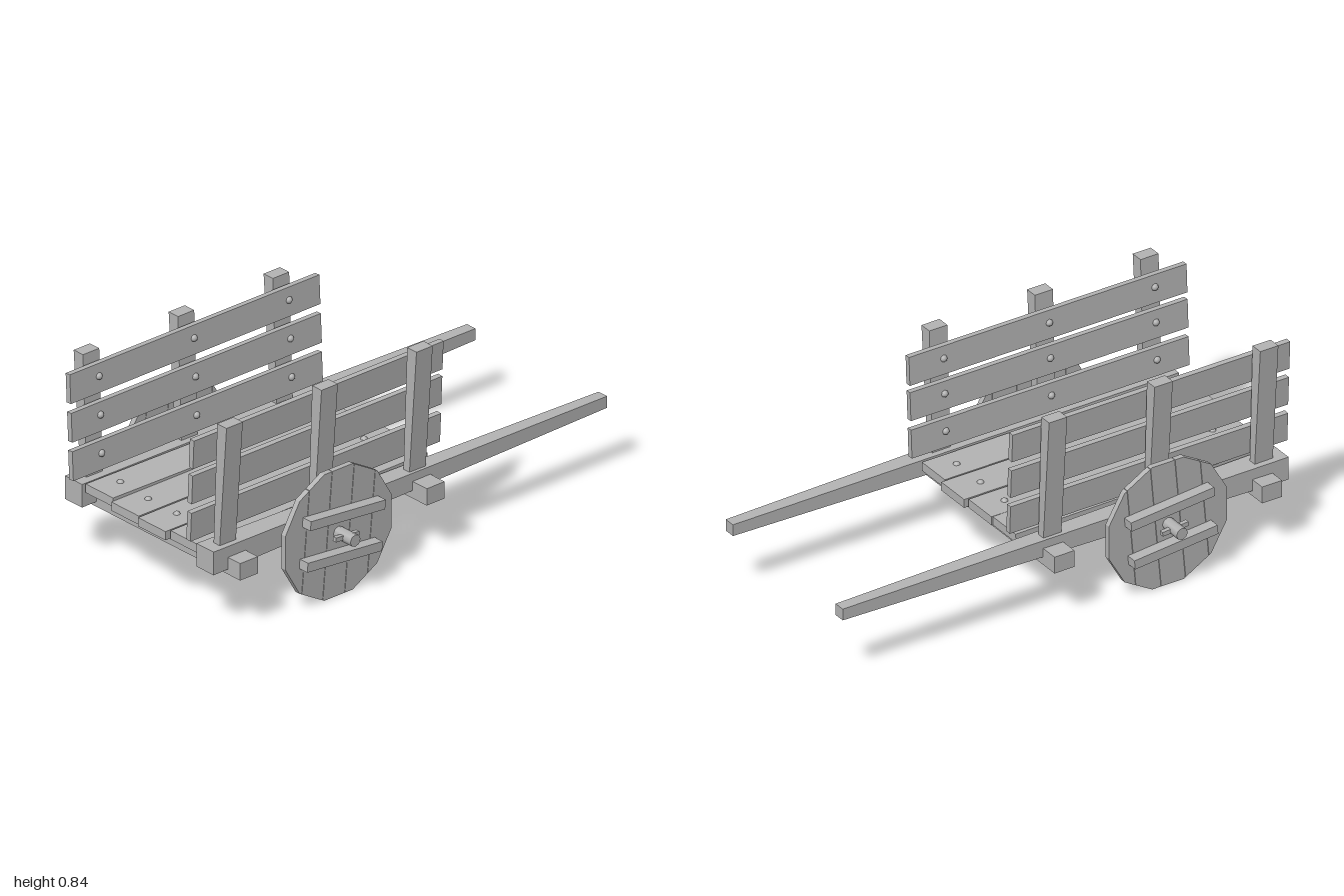
import * as THREE from 'three';

const wood = new THREE.MeshStandardMaterial({ color: 0xb4b4b4 });
wood.name = 'grey wood';

function add(parent, name, geometry, x = 0, y = 0, z = 0) {
  const mesh = new THREE.Mesh(geometry, wood);
  mesh.name = name;
  mesh.position.set(x, y, z);
  parent.add(mesh);
  return mesh;
}

const box = (parent, name, w, h, d, x, y, z) =>
  add(parent, name, new THREE.BoxGeometry(w, h, d), x, y, z);

// Unit box whose corners are moved by a rule
function shapedBox(rule) {
  const geo = new THREE.BoxGeometry(1, 1, 1);
  const p = geo.attributes.position;
  for (let i = 0; i < p.count; i++) p.setXYZ(i, ...rule(p.getX(i), p.getY(i), p.getZ(i)));
  geo.computeVertexNormals();
  return geo;
}

// Keep the part of a convex polygon where sign * x <= sign * limit
function clip(points, sign, limit) {
  const out = [];
  points.forEach((a, i) => {
    const b = points[(i + 1) % points.length];
    const da = sign * (limit - a.x), db = sign * (limit - b.x);
    if (da >= 0) out.push(a);
    if (da * db < 0) out.push(a.clone().lerp(b, da / (da - db)));
  });
  return out;
}

function nail(parent, x, y, z, rotZ) {
  const geo = new THREE.SphereGeometry(0.015, 8, 4, 0, Math.PI * 2, 0, Math.PI / 2);
  add(parent, 'nail', geo, x, y, z).rotation.z = rotZ;
}

// Twelve-sided plank wheel with two cleats and a linch pin
function makeWheel(side) {
  const wheel = new THREE.Group();
  wheel.name = side > 0 ? 'leftWheel' : 'rightWheel';
  const tilt = 0.09, radius = 0.2705, thick = 0.023, planks = 5;
  const rim = [];
  for (let i = 0; i < 12; i++) {
    const a = Math.PI / 12 + i * Math.PI / 6 + tilt;
    rim.push(new THREE.Vector2(radius * Math.cos(a), radius * Math.sin(a)));
  }
  const step = 2 * radius / planks;
  for (let i = 0; i < planks; i++) {
    const left = -radius + i * step;
    const outline = clip(clip(rim, 1, left + step - 0.001), -1, left + 0.001);
    const geo = new THREE.ExtrudeGeometry(new THREE.Shape(outline), { depth: thick, bevelEnabled: false });
    geo.translate(0, 0, -thick / 2).rotateY(Math.PI / 2);
    add(wheel, 'wheelPlank', geo);
  }
  for (const s of [-1, 1]) box(wheel, 'wheelCleat', 0.045, 0.038, 0.37, side * 0.034, s * 0.084, 0);
  box(wheel, 'linchPin', 0.018, 0.018, 0.115, side * 0.054, 0, 0);
  wheel.position.set(side * 0.454, 0.264, 0.4);
  wheel.rotation.x = -tilt;
  return wheel;
}

export function createModel() {
  const cart = new THREE.Group();
  cart.name = 'handCart';
  const postZ = [0.868, 0.4, -0.068];

  // Long side rails that taper into the handles
  for (const x of [-0.379, 0.355]) {
    add(cart, 'shaftRail', shapedBox((u, v, w) => {
      const t = 0.5 - w;
      const size = THREE.MathUtils.lerp(0.096, 0.048, t);
      return [x + u * size, 0.298 + v * size, 0.96 - 1.96 * t];
    }));
  }

  // Cross beams and axle
  for (const z of [0.845, -0.075]) box(cart, 'crossBeam', 0.96, 0.07, 0.088, -0.01, 0.265, z);
  const axle = new THREE.CylinderGeometry(0.025, 0.025, 1.12, 8).rotateZ(Math.PI / 2);
  add(cart, 'axle', axle, 0, 0.264, 0.4);
  cart.add(makeWheel(1), makeWheel(-1));

  // Deck boards: x centre, top height, back z, front z, pitch
  const deck = [
    [-0.246, 0.342, -0.18, 0.95, 0.011], [-0.091, 0.336, -0.185, 0.96, 0],
    [0.069, 0.336, -0.2, 0.97, 0], [0.228, 0.336, -0.18, 0.95, 0],
  ];
  for (const [x, top, back, front, pitch] of deck) {
    const board = box(cart, 'deckBoard', 0.153, 0.036, front - back, x, top - 0.018, (front + back) / 2);
    board.rotation.x = -pitch;
    for (const z of [0.842, -0.08]) nail(cart, x - 0.005, top - 0.004 + pitch * (z - 0.385), z, 0);
  }

  // Side walls: posts that widen upward, three boards, nails
  const walls = [
    { side: -1, low: -0.382, high: -0.411, boards: [[-0.349, 0.431], [-0.355, 0.588], [-0.363, 0.745]] },
    { side: 1, low: 0.36, high: 0.39, boards: [[0.31, 0.431], [0.317, 0.588], [0.324, 0.736]] },
  ];
  for (const { side, low, high, boards } of walls) {
    const wall = new THREE.Group();
    wall.name = side > 0 ? 'leftWall' : 'rightWall';
    cart.add(wall);
    for (const z of postZ) {
      add(wall, 'wallPost', shapedBox((u, v, w) => {
        const t = v + 0.5;
        return [THREE.MathUtils.lerp(low, high, t) + u * (0.033 + 0.019 * t), 0.33 + 0.516 * t, z + 0.08 * w];
      }));
    }
    for (const [x, y] of boards) {
      box(wall, 'wallBoard', 0.023, 0.119, 1.23, x, y, 0.385).rotation.z = -side * 0.05;
      for (const z of postZ) nail(wall, x - side * 0.009, y + 0.008, z - 0.01, side * Math.PI / 2);
    }
  }
  return cart;
}
